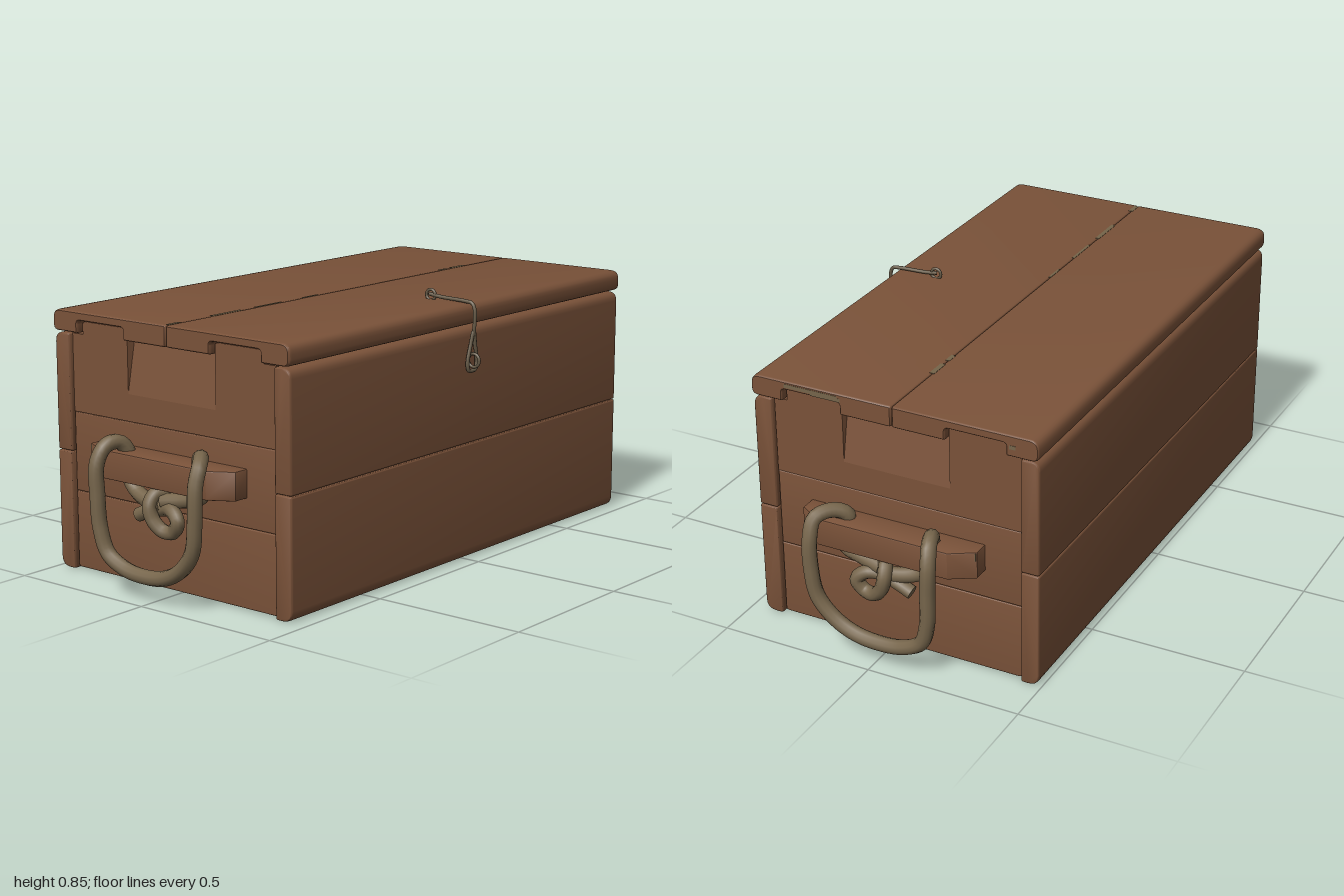
import * as THREE from 'three';
import { toCreasedNormals } from 'three/addons/utils/BufferGeometryUtils.js';

const mat = (name, color) => {
  const m = new THREE.MeshStandardMaterial({ color });
  m.name = name;
  return m;
};

// closed outline from [u, v, cornerRadius] points
function outline(points) {
  const shape = new THREE.Shape();
  const n = points.length;
  const toward = (a, b, r) => {
    const d = Math.hypot(b[0] - a[0], b[1] - a[1]);
    return [a[0] + (b[0] - a[0]) * r / d, a[1] + (b[1] - a[1]) * r / d];
  };
  points.forEach((p, i) => {
    const r = p[2] || 0;
    const a = toward(p, points[(i + n - 1) % n], r);
    const b = toward(p, points[(i + 1) % n], r);
    if (i === 0) shape.moveTo(...a); else shape.lineTo(...a);
    if (r) shape.quadraticCurveTo(p[0], p[1], ...b);
  });
  shape.closePath();
  return shape;
}

// side profile of [z, y, radius] points, extruded along x from x0 to x1
function board(profile, x0, x1, bevel = 0, bevelLength = bevel) {
  const shape = outline(profile.map(([z, y, r]) => [-z, y, r]));
  const geo = new THREE.ExtrudeGeometry(shape, {
    depth: x1 - x0 - 2 * bevelLength, curveSegments: 5, bevelEnabled: bevel > 0,
    bevelSize: bevel, bevelThickness: bevelLength, bevelOffset: -bevel, bevelSegments: 3,
  });
  geo.rotateY(Math.PI / 2).translate(x0 + bevelLength, 0, 0);
  return toCreasedNormals(geo, 0.7);
}

const box = (w, h, d, x, y, z) => new THREE.BoxGeometry(w, h, d).translate(x, y, z);
const vec = (p) => new THREE.Vector3(...p);

export function createModel() {
  const wood = mat('brown wood', 0x7a5239);
  const rope = mat('rope', 0x77664c);
  const metal = mat('dull metal', 0x665a47);
  const worn = mat('worn wood', 0x75654a);
  const root = new THREE.Group();
  root.name = 'chest';

  const add = (parent, name, geo, material) => {
    const m = new THREE.Mesh(geo, material);
    m.name = name;
    parent.add(m);
    return m;
  };
  const tube = (parent, name, pts, r, material, seg = 60, closed = false) => add(parent, name,
    new THREE.TubeGeometry(new THREE.CatmullRomCurve3(pts.map(vec), closed), seg, r, 10, closed), material);

  // long front and back boards, two high, rounded on the outside
  const L = 0.85;
  for (const [side, outer, inner] of [['front', 0.453, 0.392], ['back', -0.491, -0.432]]) {
    add(root, side + 'LowerBoard', board([[outer, 0, 0.035], [inner, 0, 0.008], [inner, 0.374, 0.004],
      [outer, 0.374, 0.006]], -L, L, 0.004, 0.01), wood);
    add(root, side + 'UpperBoard', board([[outer, 0.376, 0.006], [inner, 0.376, 0.004], [inner, 0.745, 0.008],
      [outer, 0.745, 0.03]], -L, L, 0.004, 0.01), wood);
  }
  add(root, 'floor', box(1.6, 0.03, 0.824, 0, 0.037, -0.02), wood);

  // two lid boards, notched underneath for the end tabs
  const lidTop = 0.817, lidLow = 0.75, notch = 0.789;
  add(root, 'frontLidBoard', board([[0.455, lidTop, 0.03], [0.455, lidLow, 0.022], [0.349, lidLow, 0.005],
    [0.349, notch, 0.012], [0.153, notch, 0.012], [0.153, lidLow, 0.005], [-0.0185, lidLow, 0.008],
    [-0.0185, lidTop, 0.006]], -0.857, 0.857, 0.004, 0.014), wood);
  add(root, 'backLidBoard', board([[-0.0205, lidTop, 0.006], [-0.0205, lidLow, 0.008], [-0.194, lidLow, 0.005],
    [-0.194, notch, 0.012], [-0.389, notch, 0.012], [-0.389, lidLow, 0.005], [-0.492, lidLow, 0.022],
    [-0.492, lidTop, 0.03]], -0.857, 0.857, 0.004, 0.014), wood);

  // one end: boards, cleat and rope handle; the other end is its mirror
  for (const side of ['left', 'right']) {
    const end = new THREE.Group();
    end.name = side + 'End';
    if (side === 'right') end.scale.x = -1;
    root.add(end);
    const xi = 0.77, xo = 0.836, zf = 0.389, zb = -0.429;

    add(end, 'lowerEndBoard', board([[zf, 0.006, 0.01], [zf, 0.249], [zb, 0.249], [zb, 0.006, 0.01]],
      xi, xo, 0.003), wood);
    add(end, 'middleEndBoard', board([[zf, 0.251], [zf, 0.499], [zb, 0.499], [zb, 0.251]], xi, xo, 0.003), wood);
    add(end, 'frontTabBoard', board([[zf, 0.501], [zf, 0.745], [0.345, 0.745], [0.345, 0.785, 0.012],
      [0.157, 0.785, 0.012], [0.157, 0.501]], xi, xo), wood);
    add(end, 'backTabBoard', board([[zb, 0.501], [-0.197, 0.501], [-0.197, 0.785, 0.012],
      [-0.385, 0.785, 0.012], [-0.385, 0.745], [zb, 0.745]], xi, xo), wood);

    // sloped finger grip between the tabs
    const grip = new THREE.ExtrudeGeometry(outline([[xi, 0.501], [xo, 0.501], [xo, 0.585], [0.805, 0.745],
      [xi, 0.745]]), { depth: 0.354, bevelEnabled: false });
    add(end, 'fingerGrip', grip.translate(0, 0, -0.197), wood);

    // handle cleat, narrowing outward
    const cleat = new THREE.ExtrudeGeometry(outline([[0.83, 0.31], [0.83, -0.275], [0.885, -0.275],
      [0.93, -0.2], [0.93, 0.235], [0.885, 0.31]]), {
      depth: 0.08, bevelEnabled: true, bevelSize: 0.004, bevelThickness: 0.004, bevelOffset: -0.004, bevelSegments: 2,
    });
    cleat.rotateX(-Math.PI / 2).translate(0, 0.344, 0);
    add(end, 'handleCleat', toCreasedNormals(cleat, 0.6), wood);

    // rope passes down through the cleat at both ends and is tied below
    tube(end, 'ropeHandle', [
      [0.9, 0.3, 0.0], [0.885, 0.312, 0.08], [0.88, 0.33, 0.135], [0.875, 0.38, 0.135], [0.875, 0.435, 0.125],
      [0.905, 0.457, 0.16], [0.95, 0.445, 0.195], [0.974, 0.39, 0.2], [0.977, 0.28, 0.198], [0.972, 0.19, 0.182],
      [0.966, 0.125, 0.13], [0.963, 0.088, 0.06], [0.962, 0.078, -0.02], [0.963, 0.088, -0.1],
      [0.967, 0.125, -0.165], [0.973, 0.2, -0.19], [0.977, 0.3, -0.195], [0.974, 0.4, -0.197],
      [0.945, 0.45, -0.186], [0.905, 0.455, -0.172], [0.878, 0.42, -0.16], [0.878, 0.34, -0.155],
      [0.885, 0.307, -0.12], [0.9, 0.29, -0.05], [0.9, 0.29, 0.0],
    ], 0.0235, rope, 110);
    tube(end, 'ropeKnot', [
      [0.9, 0.242, -0.1], [0.9, 0.262, -0.055], [0.895, 0.275, 0], [0.91, 0.28, 0.045], [0.92, 0.253, 0.076],
      [0.915, 0.218, 0.055], [0.92, 0.215, 0.02], [0.93, 0.245, -0.012], [0.932, 0.29, -0.025],
      [0.91, 0.322, -0.018], [0.88, 0.315, 0], [0.87, 0.27, 0.01],
    ], 0.022, rope, 70);
    const tail = new THREE.CircleGeometry(0.022, 10).rotateY(Math.PI).rotateX(-0.4).translate(0.9, 0.242, -0.1);
    add(end, 'ropeTail', tail, rope);
    add(end, 'wornCleatCorner', box(0.008, 0.025, 0.03, 0.885, 0.411, -0.292), worn);
  }

  // wire hasp: eye on the lid, wire bent over the edge, loop over a pin
  const hasp = new THREE.Group();
  hasp.name = 'hasp';
  root.add(hasp);
  const ring = (name, r, y, z) => add(hasp, name,
    new THREE.TorusGeometry(r, 0.005, 8, 20).rotateY(Math.PI / 2).translate(0, y, z), metal);
  ring('lidEye', 0.017, 0.83, 0.305);
  ring('frontStaple', 0.021, 0.642, 0.472);
  tube(hasp, 'haspWire', [[0, 0.833, 0.3], [0, 0.828, 0.34], [0, 0.824, 0.44], [0, 0.82, 0.464],
    [0, 0.8, 0.474], [0, 0.76, 0.474], [0, 0.72, 0.47]], 0.006, metal, 40);
  tube(hasp, 'haspLoop', [[0, 0.735, 0.471], [0.012, 0.69, 0.468], [0.024, 0.635, 0.466], [0.018, 0.612, 0.466],
    [0, 0.609, 0.466], [-0.018, 0.612, 0.466], [-0.024, 0.635, 0.466], [-0.012, 0.69, 0.468]], 0.006, metal, 50, true);

  // worn patches along the lid seam and lid edge
  for (const [x, w, d] of [[-0.82, 0.05, 0.014], [-0.59, 0.13, 0.014], [-0.4, 0.12, 0.009],
    [-0.2, 0.07, 0.008], [0.5, 0.04, 0.014], [0.58, 0.07, 0.016]]) {
    add(root, 'wornSeam', box(w, 0.002, d, x, lidTop, -0.02), worn);
  }
  for (const [y, z, d] of [[0.803, 0.25, 0.18], [0.797, 0.2, 0.1], [0.78, -0.41, 0.02]]) {
    add(root, 'wornLidEdge', box(0.004, 0.012, d, 0.856, y, z), worn);
  }
  return root;
}
